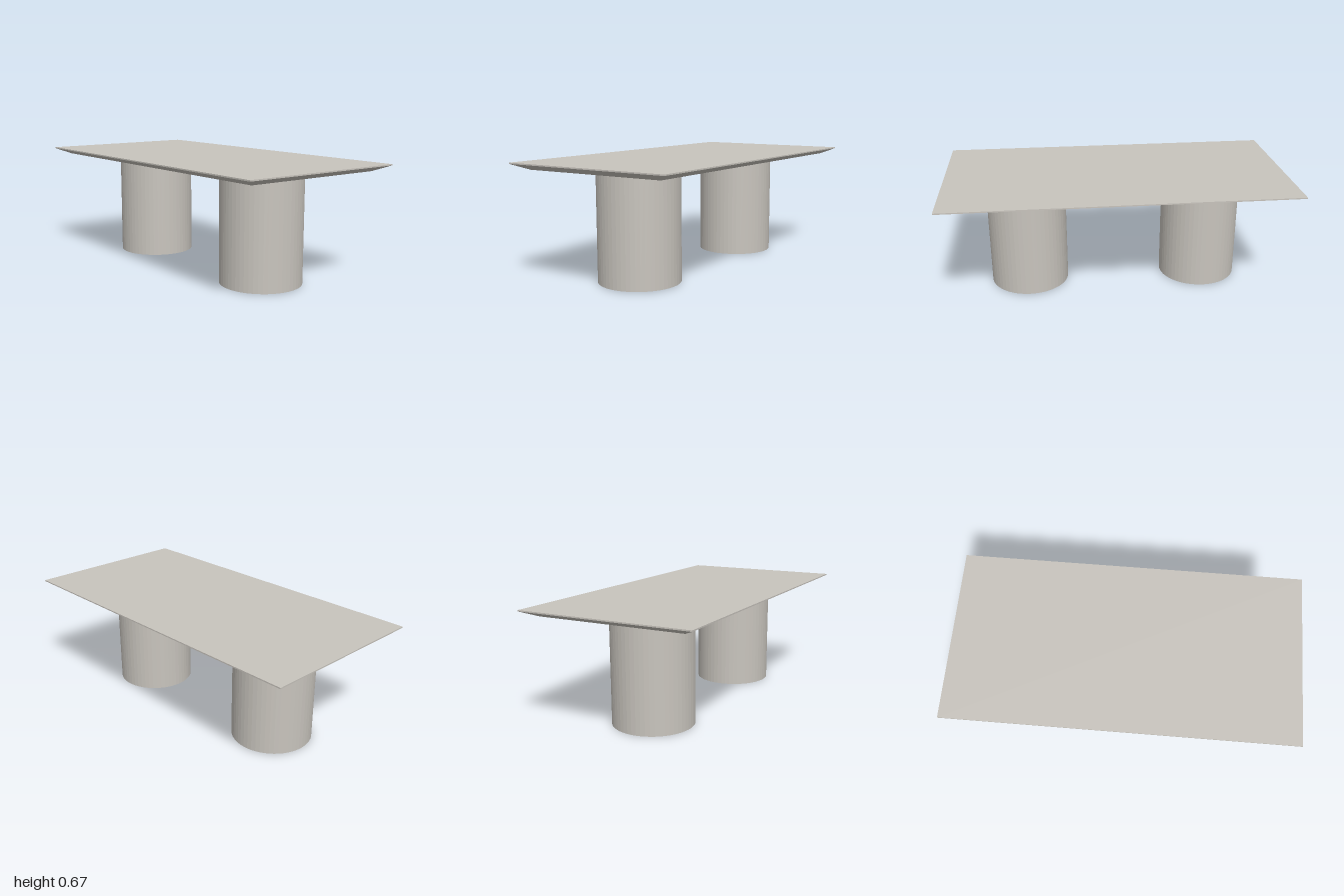
import * as THREE from 'three';

const stone = new THREE.MeshStandardMaterial({ color: 0xc8c4bd });
stone.name = 'warmGreyStone';
stone.flatShading = true;

// Box whose lower face is drawn in on all sides
function bevelledSlab(width, height, depth, inset) {
  const geometry = new THREE.BoxGeometry(width, height, depth);
  const p = geometry.attributes.position;
  for (let i = 0; i < p.count; i++) {
    if (p.getY(i) > 0) continue;
    p.setX(i, p.getX(i) - Math.sign(p.getX(i)) * inset);
    p.setZ(i, p.getZ(i) - Math.sign(p.getZ(i)) * inset);
  }
  geometry.computeVertexNormals();
  return geometry;
}

export function createModel() {
  const table = new THREE.Group();
  table.name = 'table';

  const add = (name, geometry, x, y, z) => {
    const mesh = new THREE.Mesh(geometry, stone);
    mesh.name = name;
    mesh.position.set(x, y, z);
    table.add(mesh);
  };

  // Top: thin straight rim over a wide underside bevel
  const top = 0.672, rim = 0.007, bevel = 0.033;
  add('tabletopRim', new THREE.BoxGeometry(2, rim, 1.01), 0, top - rim / 2, 0);
  add('tabletopBevel', bevelledSlab(2, bevel, 1.01, 0.077), 0, top - rim - bevel / 2, 0);

  // Two drum legs, set slightly off centre
  const legHeight = 0.633;
  const drum = new THREE.CylinderGeometry(0.234, 0.234, legHeight, 56);
  add('rightLeg', drum, -0.521, legHeight / 2, 0.008);
  add('leftLeg', drum, 0.531, legHeight / 2, 0.008);

  return table;
}
